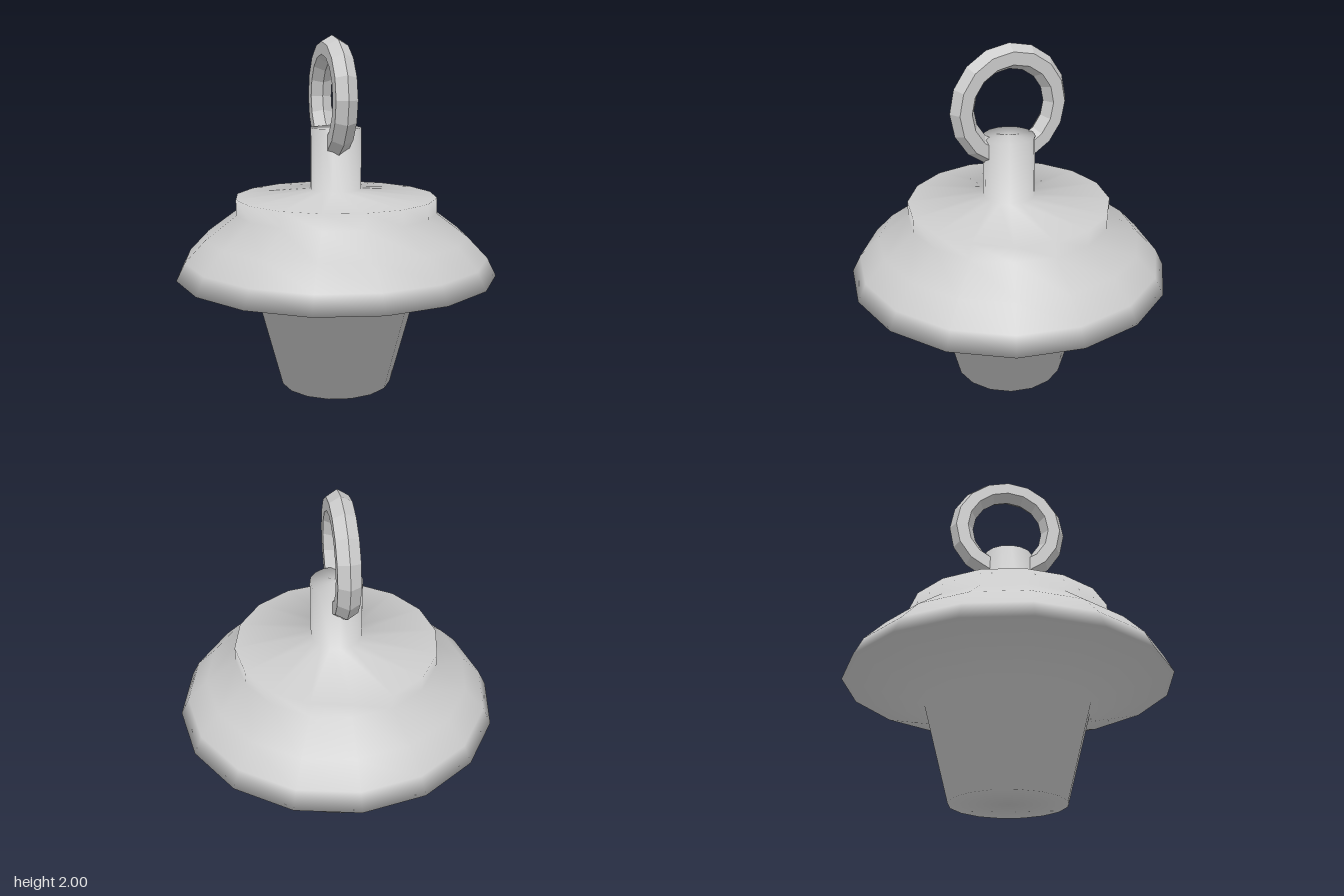
import * as THREE from 'three';

export function createModel() {
  const group = new THREE.Group();

  // Turned body: tapered plug, flared skirt, shoulder and post in one smooth profile
  const profile = [
    [0, 0], [0.32, 0], [0.46, 0.53], [0.915, 0.66], [0.865, 0.76], [0.75, 0.88],
    [0.575, 1.01], [0.575, 1.1], [0.145, 1.14], [0.145, 1.49], [0, 1.49],
  ].map(([r, y]) => new THREE.Vector2(r, y));
  const body = new THREE.Mesh(
    new THREE.LatheGeometry(profile, 16),
    new THREE.MeshStandardMaterial({ color: 0xcccccc }),
  );
  body.name = 'body';
  group.add(body);

  // Faceted hexagonal-section ring passing through the post
  const ring = new THREE.Mesh(
    new THREE.TorusGeometry(0.276, 0.07, 6, 16),
    new THREE.MeshStandardMaterial({ color: 0xcccccc, flatShading: true }),
  );
  ring.name = 'pullRing';
  ring.rotation.y = Math.PI / 2;
  ring.position.set(-0.02, 1.654, -0.01);
  group.add(ring);

  return group;
}
